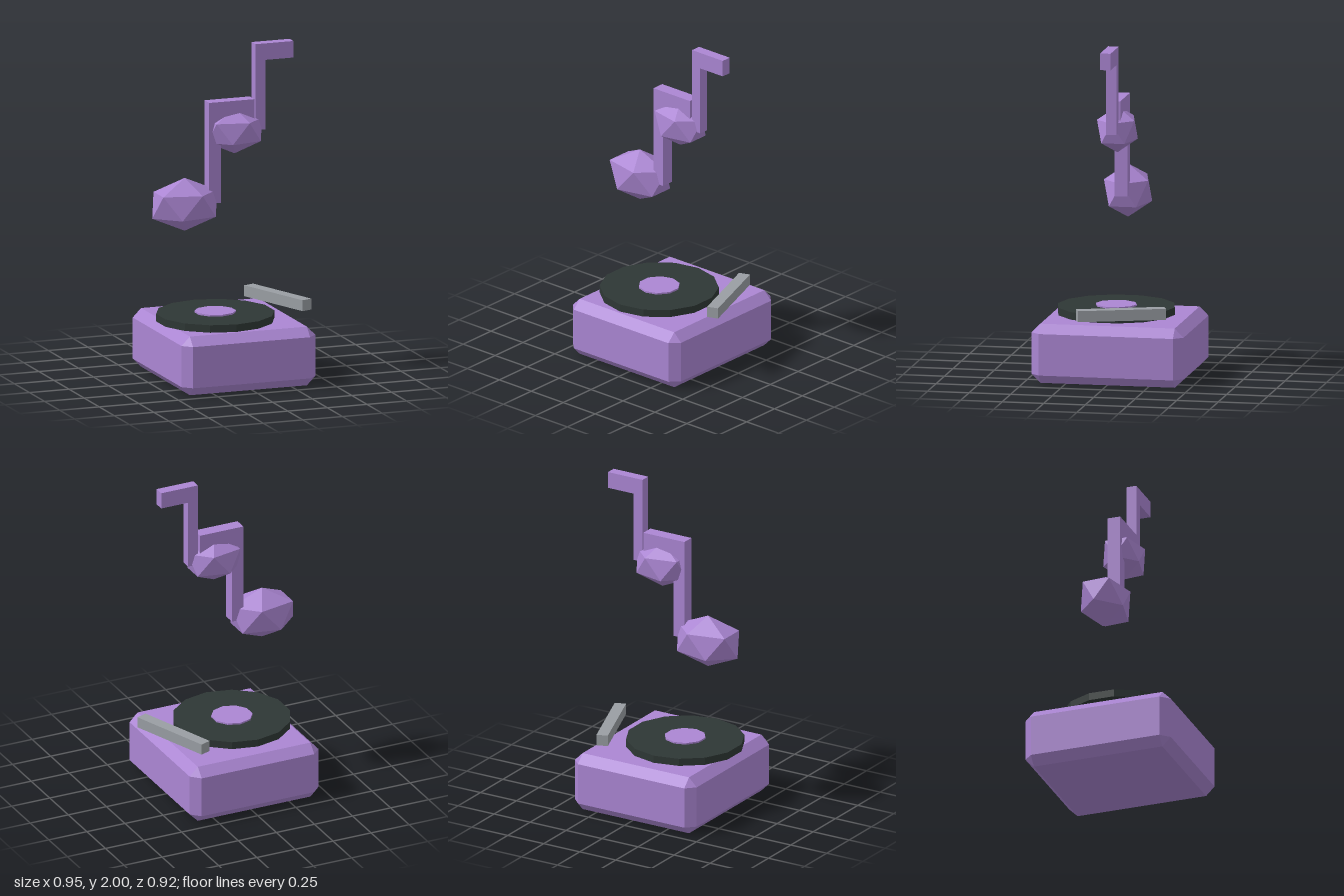
import * as THREE from 'three';
import { ConvexGeometry } from 'three/addons/geometries/ConvexGeometry.js';

const flat = (name, color) => {
  const m = new THREE.MeshStandardMaterial({ color });
  m.name = name;
  return m;
};

// Box with every edge cut at 45 degrees
function chamferedBox(w, h, d, c) {
  const pts = [];
  for (const x of [-1, 1]) for (const y of [-1, 1]) for (const z of [-1, 1]) {
    for (const [a, b, e] of [[0, c, c], [c, 0, c], [c, c, 0]]) {
      pts.push(new THREE.Vector3(x * (w / 2 - a), y * (h / 2 - b), z * (d / 2 - e)));
    }
  }
  return new ConvexGeometry(pts);
}

// Icosahedron with upright poles, stretched to the given radii
function noteHeadGeometry(rx, ry, rz) {
  const pts = [new THREE.Vector3(0, ry, 0), new THREE.Vector3(0, -ry, 0)];
  const h = 1 / Math.sqrt(5), r = 2 * h;
  for (let i = 0; i < 5; i++) {
    const a = i * Math.PI * 0.4;
    for (const s of [1, -1]) {
      pts.push(new THREE.Vector3(s * r * Math.cos(a) * rx, s * h * ry, r * Math.sin(a) * rz));
    }
  }
  return new ConvexGeometry(pts);
}

// Upright stem with a flag pointing to +x, as one bent bar
function stemGeometry(x0, x1, y0, y1, stemWidth, flagHeight, depth) {
  const shape = new THREE.Shape([
    [x0, y0], [x0 + stemWidth, y0], [x0 + stemWidth, y1 - flagHeight],
    [x1, y1 - flagHeight], [x1, y1], [x0, y1],
  ].map(([x, y]) => new THREE.Vector2(x, y)));
  return new THREE.ExtrudeGeometry(shape, { depth, bevelEnabled: false }).translate(0, 0, -depth / 2);
}

export function createModel() {
  const purple = flat('purple', 0xab86d3);
  const black = flat('record black', 0x2e3735);
  const grey = flat('arm grey', 0x999ea3);
  for (const m of [purple, black, grey]) m.flatShading = true;

  const model = new THREE.Group();
  model.name = 'recordPlayer';
  const add = (name, geometry, material, x = 0, y = 0, z = 0, parent = model) => {
    const mesh = new THREE.Mesh(geometry, material);
    mesh.name = name;
    mesh.position.set(x, y, z);
    parent.add(mesh);
    return mesh;
  };

  // Player: case, record, label and tone arm
  add('case', chamferedBox(0.845, 0.355, 0.915, 0.053), purple, -0.021, 0.1775, -0.002);
  add('record', new THREE.CylinderGeometry(0.352, 0.352, 0.045, 14), black, -0.09, 0.3775, 0.034);
  add('recordLabel', new THREE.CylinderGeometry(0.123, 0.123, 0.01, 10), purple, -0.09, 0.405, 0.034);
  const arm = add('toneArm', new THREE.BoxGeometry(0.069, 0.066, 0.526), grey, 0.35, 0.428, -0.084);
  arm.rotation.y = THREE.MathUtils.degToRad(20);

  // Floating notes: a faceted head and a flagged stem each
  const notes = [
    { name: 'lowerNote', head: [0.229, 0.16, 0.156], at: [-0.27, 1.06], stem: [-0.13, 0.155, 1.06, 1.67, 0.075, 0.119, 0.079] },
    { name: 'upperNote', head: [0.193, 0.139, 0.132], at: [0.045, 1.482], stem: [0.165, 0.405, 1.48, 2, 0.064, 0.1, 0.063] },
  ];
  for (const n of notes) {
    const note = new THREE.Group();
    note.name = n.name;
    model.add(note);
    add('noteHead', noteHeadGeometry(...n.head), purple, n.at[0], n.at[1], 0, note);
    add('noteStem', stemGeometry(...n.stem), purple, 0, 0, 0, note);
  }
  return model;
}
